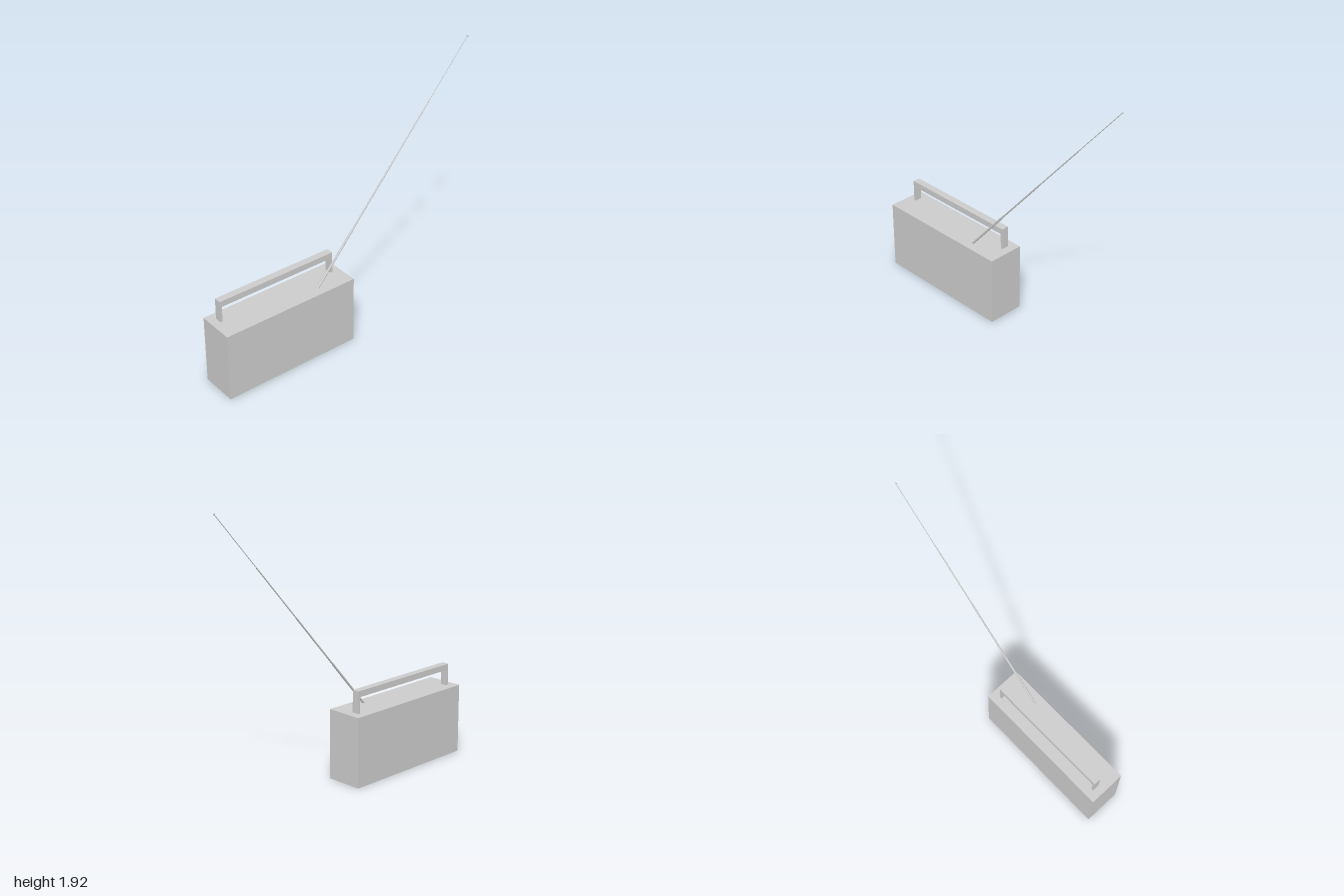
import * as THREE from 'three';

export function createModel() {
  const radio = new THREE.Group();
  radio.name = 'portableRadio';
  const grey = new THREE.MeshStandardMaterial({ color: 0xcccccc });

  function add(name, geometry, parent = radio) {
    const mesh = new THREE.Mesh(geometry, grey);
    mesh.name = name;
    parent.add(mesh);
    return mesh;
  }

  // box given by its lower and upper corners
  function box(name, lo, hi, parent) {
    const size = hi.map((v, i) => v - lo[i]);
    add(name, new THREE.BoxGeometry(...size), parent)
      .position.set(...lo.map((v, i) => (v + hi[i]) / 2));
  }

  // case
  box('case', [-1, 0, -0.13], [0.005, 0.488, 0.13]);

  // carrying handle: grip on two thin posts
  const handle = new THREE.Group();
  handle.name = 'handle';
  radio.add(handle);
  box('handleGrip', [-0.943, 0.6, -0.074], [-0.053, 0.642, -0.023], handle);
  box('handlePostRight', [-0.943, 0.488, -0.074], [-0.928, 0.6, -0.023], handle);
  box('handlePostLeft', [-0.068, 0.488, -0.074], [-0.053, 0.6, -0.023], handle);

  // telescopic antenna: four sections, each thinner than the last
  const antenna = new THREE.Group();
  antenna.name = 'antenna';
  const start = new THREE.Vector3(-0.27, 0.458, 0.065);
  const end = new THREE.Vector3(0.993, 1.917, 0.065);
  const along = end.clone().sub(start);
  antenna.position.copy(start);
  antenna.quaternion.setFromUnitVectors(new THREE.Vector3(0, 1, 0), along.clone().normalize());
  radio.add(antenna);

  const length = along.length();
  const radii = [0.0075, 0.0055, 0.004, 0.0025];
  const section = length / radii.length;
  radii.forEach((r, i) => {
    add(`antennaSection${i + 1}`, new THREE.CylinderGeometry(r, r, section, 16), antenna)
      .position.y = section * (i + 0.5);
  });
  add('antennaTip', new THREE.SphereGeometry(0.006, 16, 12), antenna).position.y = length;

  return radio;
}
